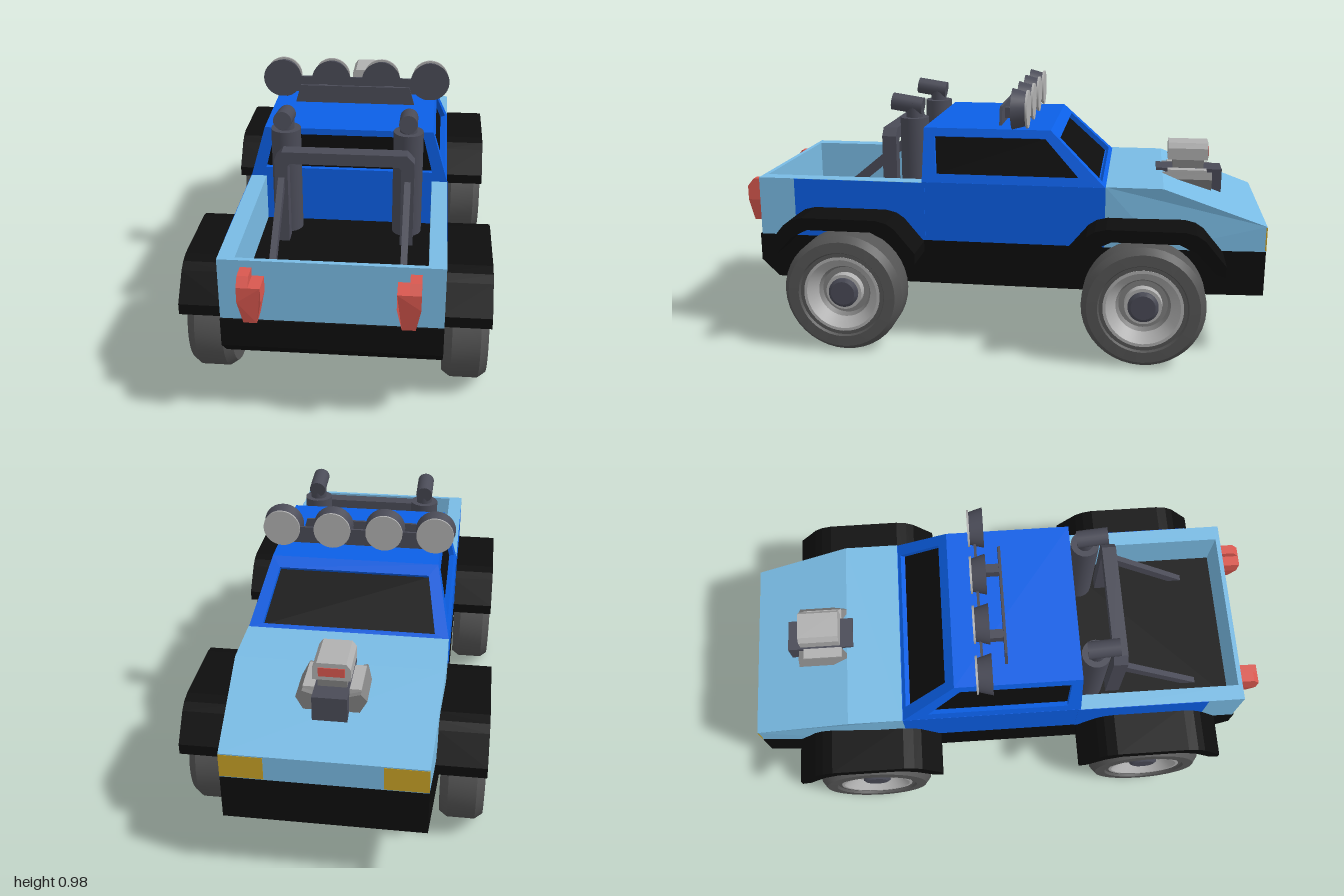
import * as THREE from 'three';
import { toCreasedNormals } from 'three/addons/utils/BufferGeometryUtils.js';

const mat = (color) => new THREE.MeshStandardMaterial({ color, side: THREE.DoubleSide });
const M = {
  light: mat(0x79bbe4), blue: mat(0x0b5fe6), black: mat(0x0d0d0d), dark: mat(0x4a4b57),
  red: mat(0xd9584f), yellow: mat(0xc9a227), tyre: mat(0x555555), grey: mat(0xb0b0b0), steel: mat(0x808080),
};

export function createModel() {
  const root = new THREE.Group();

  const add = (name, geo, m, parent = root) => {
    const mesh = new THREE.Mesh(geo, m);
    mesh.name = name;
    parent.add(mesh);
    return mesh;
  };
  // Box given by its min and max on each axis
  const box = (name, m, [x0, x1], [y0, y1], [z0, z1], parent) =>
    add(name, new THREE.BoxGeometry(x1 - x0, y1 - y0, z1 - z0)
      .translate((x0 + x1) / 2, (y0 + y1) / 2, (z0 + z1) / 2), m, parent);
  const shape = (pts) => new THREE.Shape(pts.map((p) => new THREE.Vector2(...p)));
  // Side profile of [z, y] points swept from x0 to x1
  const sweepX = (pts, x0, x1) =>
    new THREE.ExtrudeGeometry(shape(pts.map(([z, y]) => [-z, y])), { depth: x1 - x0, bevelEnabled: false })
      .rotateY(Math.PI / 2).translate(x0, 0, 0);
  // Front profile of [x, y] points swept from z0 to z1
  const sweepZ = (pts, z0, z1) =>
    new THREE.ExtrudeGeometry(shape(pts), { depth: z1 - z0, bevelEnabled: false }).translate(0, 0, z0);
  const move = (geo, rule) => {
    const p = geo.attributes.position;
    for (let i = 0; i < p.count; i++) p.setXYZ(i, ...rule(p.getX(i), p.getY(i), p.getZ(i)));
    geo.computeVertexNormals();
    return geo;
  };
  const quads = (list) => {
    const g = new THREE.BufferGeometry();
    const pts = list.flatMap(([a, b, c, d]) => [a, b, c, a, c, d]);
    g.setFromPoints(pts);
    g.computeVertexNormals();
    return g;
  };

  // Chassis and hood, narrowing towards the nose
  const nose = (x, y, z) => [z < -0.62 ? x * (1 + 0.065 * (z + 0.62) / 0.38) : x, y, z];
  add('chassis', move(sweepX([[-1, 0.235], [-0.62, 0.235], [0.86, 0.235], [0.927, 0.3], [0.927, 0.405],
    [-0.62, 0.405], [-1, 0.405]], -0.373, 0.373), nose), M.black);
  add('hood', move(sweepX([[-0.41, 0.405], [-0.41, 0.635], [-0.62, 0.635], [-1, 0.5], [-1, 0.405],
    [-0.62, 0.405]], -0.373, 0.373), nose), M.light);

  // Cabin base and load bed
  box('cabinBase', M.blue, [-0.373, 0.373], [0.405, 0.632], [-0.41, 0.28]);
  box('bedFloor', M.black, [-0.32, 0.32], [0.4, 0.45], [0.28, 0.91]);
  box('tailgate', M.light, [-0.373, 0.373], [0.405, 0.63], [0.903, 0.92]);

  // Cabin top: four framed windows and a roof
  const V = (x, y, z) => new THREE.Vector3(x, y, z);
  const framed = (name, [a, b, c, d], u0, u1, v0, v1, depth) => {
    const at = (u, v) => a.clone().lerp(b, u).lerp(d.clone().lerp(c, u), v);
    const outer = [a, b, c, d];
    const inner = [at(u0, v0), at(u1, v0), at(u1, v1), at(u0, v1)];
    const n = b.clone().sub(a).cross(d.clone().sub(a)).normalize().multiplyScalar(-depth);
    const deep = inner.map((p) => p.clone().add(n));
    const frame = [];
    for (let i = 0; i < 4; i++) {
      const j = (i + 1) % 4;
      frame.push([outer[i], outer[j], inner[j], inner[i]], [inner[i], inner[j], deep[j], deep[i]]);
    }
    add(name + 'Frame', quads(frame), M.blue);
    add(name, quads([deep]), M.black);
  };
  const w = 0.373, t = 0.315, yb = 0.63, yt = 0.83;
  const [rl, rr, fl, fr] = [V(w, yb, 0.28), V(-w, yb, 0.28), V(w, yb, -0.41), V(-w, yb, -0.41)];
  const [rlt, rrt, flt, frt] = [V(t, yt, 0.28), V(-t, yt, 0.28), V(t, yt, -0.2), V(-t, yt, -0.2)];
  framed('rearWindow', [rr, rl, rlt, rrt], 0.065, 0.935, 0.18, 0.88, 0.02);
  framed('windscreen', [fl, fr, frt, flt], 0.065, 0.935, 0.07, 0.84, 0.02);
  framed('leftWindow', [rl, fl, flt, rlt], 0.08, 0.9, 0.17, 0.85, 0.02);
  framed('rightWindow', [fr, rr, rrt, frt], 0.1, 0.92, 0.17, 0.85, 0.02);
  add('roof', quads([[rlt, flt, frt, rrt]]), M.blue);

  // Wheel: lathed about its axle, outer face towards +x
  const lathe = (pts) => toCreasedNormals(new THREE.LatheGeometry(
    pts.map((p) => new THREE.Vector2(...p)), 40).rotateZ(-Math.PI / 2), 0.5);
  const wheel = (z, parent) => {
    const g = new THREE.Group();
    g.name = 'wheel';
    g.position.set(0.455, 0.226, z);
    parent.add(g);
    add('tyre', lathe([[0.14, -0.08], [0.205, -0.08], [0.226, -0.05], [0.226, 0.05], [0.205, 0.078],
      [0.165, 0.08], [0.16, 0.07], [0.145, 0.07], [0.14, 0.04]]), M.tyre, g);
    add('rim', lathe([[0, -0.07], [0.14, -0.07], [0.146, 0.072], [0.135, 0.072], [0.1, 0.035]]), M.grey, g);
    add('rimDish', lathe([[0.102, 0.036], [0.09, 0.015], [0, 0.015]]), M.steel, g);
    add('hubRing', lathe([[0.07, 0.015], [0.068, 0.045], [0.055, 0.045]]), M.grey, g);
    add('hubCap', lathe([[0.056, 0.015], [0.056, 0.055], [0.045, 0.062], [0, 0.062]]), M.dark, g);
  };
  const arch = [[-0.285, 0.36], [-0.285, 0.4], [-0.21, 0.49], [-0.18, 0.51], [-0.14, 0.52], [0.14, 0.52],
    [0.18, 0.51], [0.21, 0.49], [0.285, 0.4], [0.285, 0.36], [0.25, 0.37], [0.18, 0.445], [0.12, 0.475],
    [-0.12, 0.475], [-0.18, 0.445], [-0.25, 0.37]];

  // Everything that comes in pairs, built on +x and mirrored
  for (const s of [1, -1]) {
    const side = new THREE.Group();
    side.name = s > 0 ? 'leftSide' : 'rightSide';
    side.scale.x = s;
    root.add(side);

    for (const z of [0.56, -0.56]) {
      wheel(z, side);
      add('fender', sweepX(arch.map(([d, y]) => [z + d, y]), 0.36, 0.535), M.black, side);
    }
    box('bedWall', M.light, [0.315, 0.373], [0.405, 0.63], [0.28, 0.92], side);
    box('bedSidePanel', M.blue, [0.36, 0.3745], [0.405, 0.629], [0.27, 0.78], side);
    box('headlight', M.yellow, [0.2, 0.349], [0.408, 0.496], [-1.001, -0.985], side);

    // Tail light with slanted back
    const tail = sweepZ([[0.235, 0.435], [0.28, 0.435], [0.296, 0.52], [0.296, 0.575], [0.218, 0.575],
      [0.218, 0.52]], 0.915, 1);
    add('tailLight', move(tail, (x, y, z) => [x, y, z > 0.95 && y < 0.45 ? 0.985 : z]), M.red, side);
    add('tailLightTop', sweepX([[0.915, 0.575], [1, 0.575], [0.975, 0.605], [0.915, 0.605]], 0.258, 0.296),
      M.red, side);

    // Exhaust stack with elbow outlet
    const cyl = (name, r, y0, y1) => add(name, new THREE.CylinderGeometry(r, r, y1 - y0, 20)
      .translate(0.225, (y0 + y1) / 2, 0.335), M.dark, side);
    cyl('exhaustStack', 0.055, 0.45, 0.855);
    cyl('exhaustNeck', 0.032, 0.85, 0.91);
    add('exhaustOutlet', new THREE.CylinderGeometry(0.033, 0.033, 0.12, 20).rotateX(Math.PI / 2 - 0.15)
      .translate(0.225, 0.905, 0.36), M.dark, side);
    // Diagonal stay of the roll bar
    add('rollBarStay', sweepX([[0.45, 0.71], [0.46, 0.71], [0.775, 0.45], [0.72, 0.45], [0.45, 0.67]],
      0.217, 0.24), M.dark, side);

    // Roof lamps
    for (const x of [0.1, 0.295]) {
      add('roofLamp', toCreasedNormals(new THREE.CylinderGeometry(0.062, 0.077, 0.055, 28)
        .rotateX(Math.PI / 2).rotateX(Math.PI).scale(1, 1, -1).rotateY(Math.PI).translate(x, 0.905, -0.083), 0.5)
        , M.dark, side);
      add('roofLampLens', new THREE.CylinderGeometry(0.071, 0.071, 0.008, 28).rotateX(Math.PI / 2)
        .translate(x, 0.905, -0.112), M.grey, side);
    }
    box('lampBracket', M.dark, [0.115, 0.15], [0.845, 0.885], [-0.09, 0], side);

    // Engine cylinder bank and exhaust ports
    add('engineBank', sweepZ([[0.05, 0.57], [0.095, 0.565], [0.122, 0.615], [0.1, 0.64], [0.05, 0.625]],
      -0.81, -0.62), M.steel, side);
    box('engineCover', M.grey, [0.06, 0.1], [0.6, 0.647], [-0.79, -0.64], side);
  }

  // Roll bar hoop
  add('rollBar', sweepZ([[-0.252, 0.45], [-0.252, 0.78], [-0.225, 0.81], [0.225, 0.81], [0.252, 0.78],
    [0.252, 0.45], [0.205, 0.45], [0.205, 0.755], [0.195, 0.765], [-0.195, 0.765], [-0.205, 0.755],
    [-0.205, 0.45]], 0.405, 0.46), M.dark);

  // Roof lamp rail
  add('lampPlate', sweepZ([[-0.235, 0.83], [0.235, 0.83], [0.215, 0.9], [-0.215, 0.9]], -0.005, 0.005), M.dark);
  box('lampRail', M.dark, [-0.3, 0.3], [0.84, 0.905], [-0.095, -0.085]);

  // Engine block and intake scoop
  box('engineBlock', M.dark, [-0.06, 0.06], [0.54, 0.645], [-0.85, -0.595]);
  box('intakeNeck', M.steel, [-0.05, 0.05], [0.64, 0.682], [-0.78, -0.66]);
  add('intakeScoop', sweepZ([[-0.065, 0.68], [0.065, 0.68], [0.065, 0.725], [0.05, 0.745], [-0.05, 0.745],
    [-0.065, 0.725]], -0.795, -0.64), M.grey);
  box('intakeMouth', M.red, [-0.045, 0.045], [0.695, 0.728], [-0.798, -0.78]);

  return root;
}
